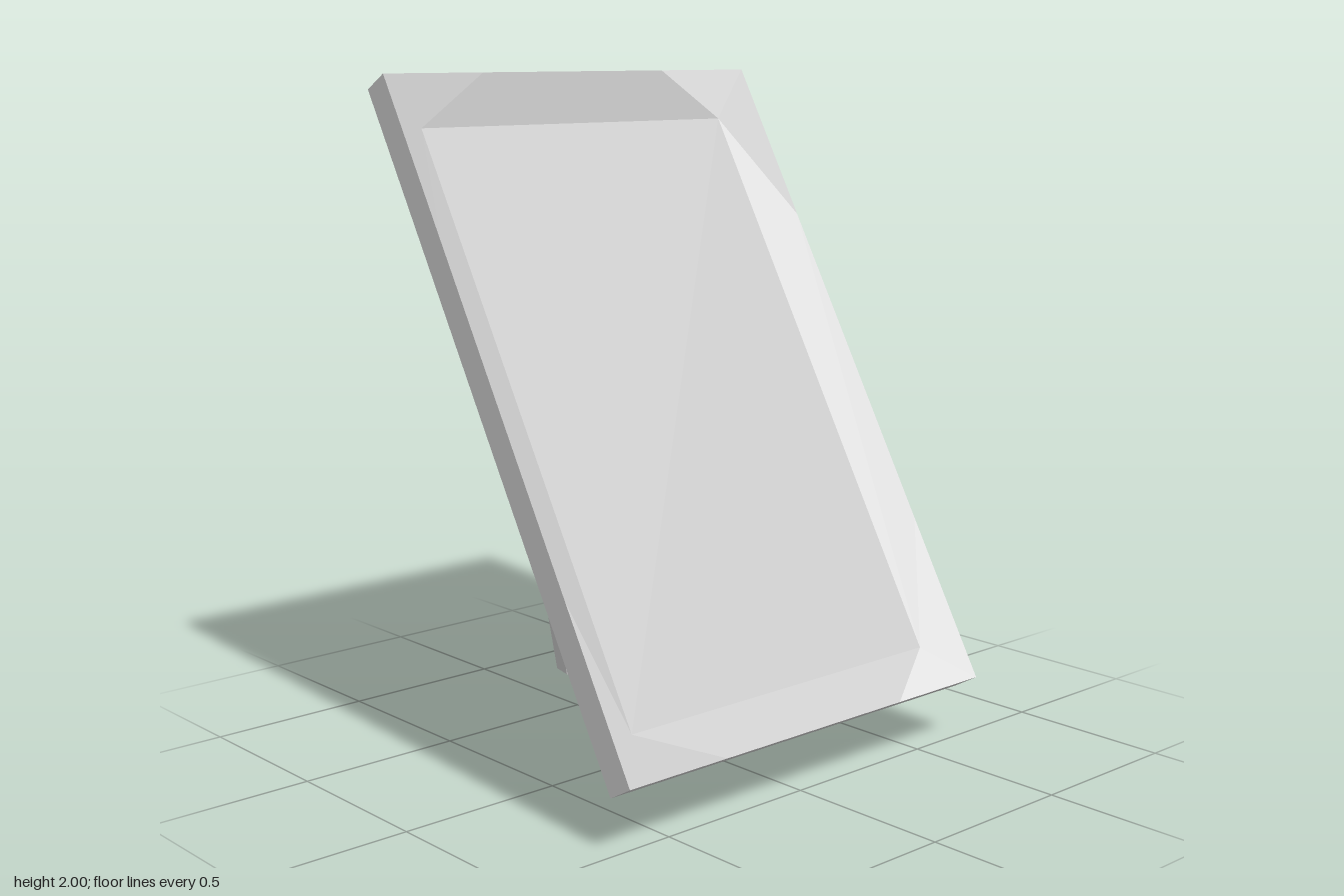
import * as THREE from 'three';

const W = 0.69, H = 1.04, D = 0.045;      // half size of the frame
const w = 0.575, h = 0.9, d = D - 0.065;  // half size and level of the sunken panel

// Flat-shaded polygons, each a fan from its first corner with one shared normal
function polygons(faces) {
  const position = [], normal = [];
  for (const face of faces) {
    const n = new THREE.Vector3();
    for (let i = 1; i < face.length - 1; i++) {
      const [a, b, c] = [face[0], face[i], face[i + 1]].map(p => new THREE.Vector3(...p));
      n.add(b.clone().sub(a).cross(c.clone().sub(a)));
      position.push(...a, ...b, ...c);
    }
    n.normalize();
    for (let i = 0; i < (face.length - 2) * 3; i++) normal.push(...n);
  }
  const g = new THREE.BufferGeometry();
  g.setAttribute('position', new THREE.Float32BufferAttribute(position, 3));
  g.setAttribute('normal', new THREE.Float32BufferAttribute(normal, 3));
  return g;
}

export function createModel() {
  const model = new THREE.Group();
  const material = new THREE.MeshStandardMaterial({ color: 0xcccccc });
  const add = (parent, name, geometry) => {
    const mesh = new THREE.Mesh(geometry, material);
    mesh.name = name;
    parent.add(mesh);
  };

  const frame = new THREE.Group();
  frame.name = 'frame';
  frame.position.set(0, 1.0775, 0.004);
  frame.rotation.x = -Math.PI / 6;
  model.add(frame);

  // Corners run counterclockwise as seen from the front
  const signs = [[-1, -1], [1, -1], [1, 1], [-1, 1]];
  const ring = (x, y, z) => signs.map(([sx, sy]) => [sx * x, sy * y, z]);
  const outer = ring(W, H, D), back = ring(W, H, -D), inner = ring(w, h, d);
  const along = (a, b, t) => a.map((v, k) => v + (b[k] - v) * t);

  const shell = [[...back].reverse()], rim = [];
  for (let i = 0; i < 4; i++) {
    const j = (i + 1) % 4, k = (i + 3) % 4;
    const start = along(outer[i], outer[j], 0.25), end = along(outer[i], outer[j], 0.75);
    shell.push([back[i], back[j], outer[j], outer[i]]);
    // Sloping side facet, then the kite at the corner
    rim.push([inner[i], start, end, inner[j]]);
    rim.push([inner[i], along(outer[i], outer[k], 0.25), outer[i], start]);
  }
  add(frame, 'frameBackAndEdges', polygons(shell));
  add(frame, 'frameRim', polygons(rim));
  add(frame, 'picturePanel', polygons([inner]));

  // Slanted tapering leg behind the frame
  const outline = [[0.265, 0], [0.34, 0.508], [-0.31, 1.5], [-0.46, 1.442], [-0.05, 0.117]];
  const legShape = new THREE.Shape(outline.map(p => new THREE.Vector2(...p)));
  const leg = new THREE.Group();
  leg.name = 'supportLeg';
  leg.position.set(0, 0.009, -0.56);
  leg.rotation.x = Math.PI / 18;
  add(leg, 'legBoard', new THREE.ExtrudeGeometry(legShape, { depth: 0.05, bevelEnabled: false }));
  model.add(leg);

  return model;
}
